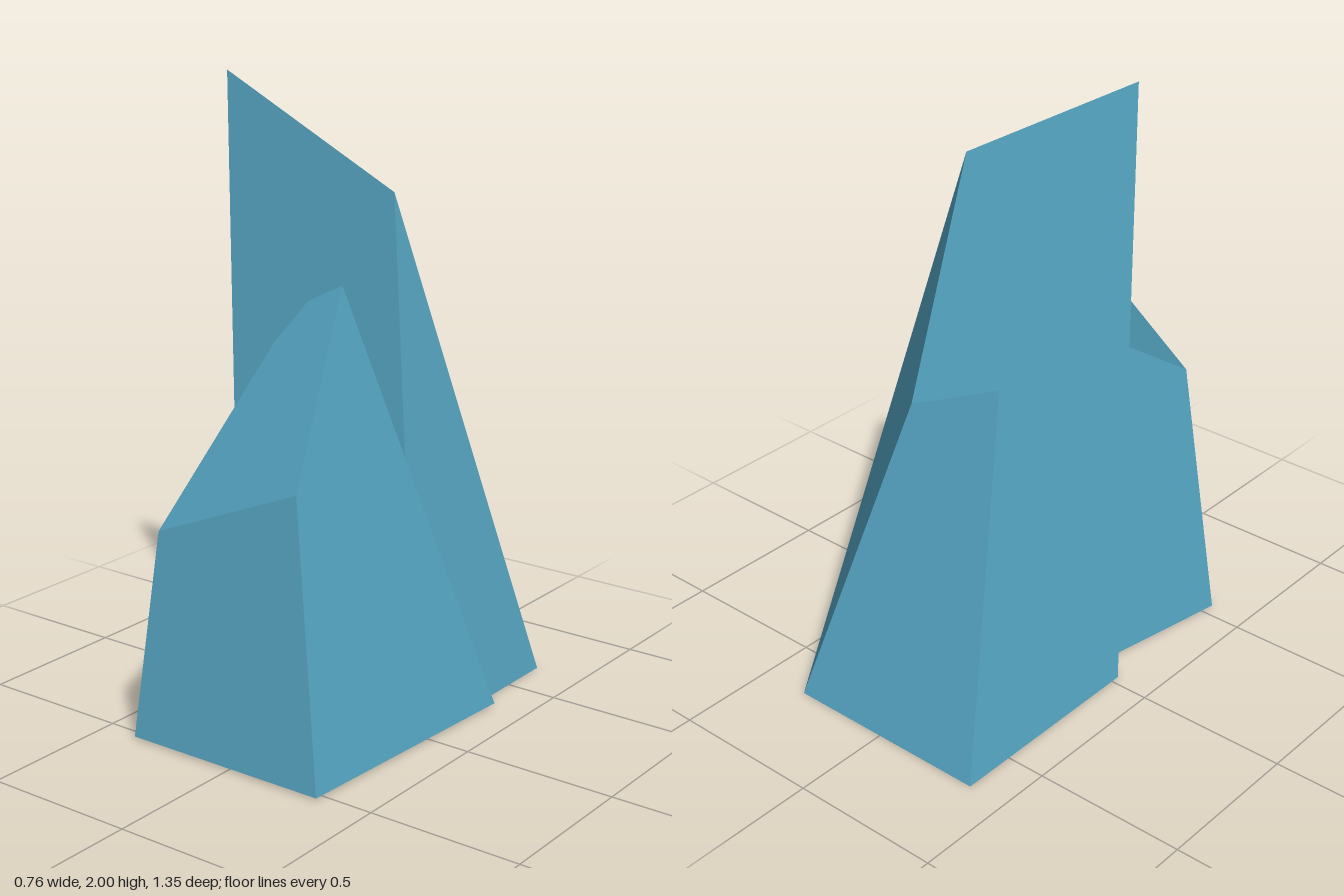
import * as THREE from 'three';

const crystalBlue = new THREE.MeshStandardMaterial({ color: 0x58aac8 });
crystalBlue.name = 'crystalBlue';

// Six-faced shard. Both rings run front-left, back-left, back-right, front-right.
// Each four-cornered face carries one flat normal, even where it is slightly bent.
function shard(name, base, top) {
  const positions = [], normals = [];
  const quad = (a, b, c, d) => {
    const n = c.clone().sub(a).cross(d.clone().sub(b)).normalize();
    for (const v of [a, b, c, a, c, d]) {
      positions.push(v.x, v.y, v.z);
      normals.push(n.x, n.y, n.z);
    }
  };
  const lo = base.map(p => new THREE.Vector3(...p));
  const hi = top.map(p => new THREE.Vector3(...p));
  for (let i = 0; i < 4; i++) {
    const j = (i + 1) % 4;
    quad(lo[i], hi[i], hi[j], lo[j]);
  }
  quad(hi[0], hi[3], hi[2], hi[1]);
  quad(lo[0], lo[1], lo[2], lo[3]);
  const geometry = new THREE.BufferGeometry();
  geometry.setAttribute('position', new THREE.Float32BufferAttribute(positions, 3));
  geometry.setAttribute('normal', new THREE.Float32BufferAttribute(normals, 3));
  const mesh = new THREE.Mesh(geometry, crystalBlue);
  mesh.name = name;
  return mesh;
}

export function createModel() {
  const group = new THREE.Group();
  group.name = 'crystalCluster';
  // Tall shard at the back
  group.add(shard('tallShard',
    [[-0.37, 0, 0.03], [-0.37, 0, -0.675], [0.33, 0, -0.675], [0.33, 0, 0.03]],
    [[-0.383, 2, 0.037], [-0.24, 1.165, -0.385], [0.09, 1.01, -0.4], [0.175, 1.675, -0.05]]));
  // Shorter shard in front, its rear buried in the tall one
  group.add(shard('shortShard',
    [[-0.37, 0.007, 0.54], [-0.17, 0.007, -0.58], [0.38, 0.007, -0.335], [0.33, 0.007, 0.535]],
    [[-0.13, 0.765, 0.673], [-0.225, 1.267, -0.09], [0.262, 1.475, 0.32], [0.2, 0.88, 0.455]]));
  return group;
}
